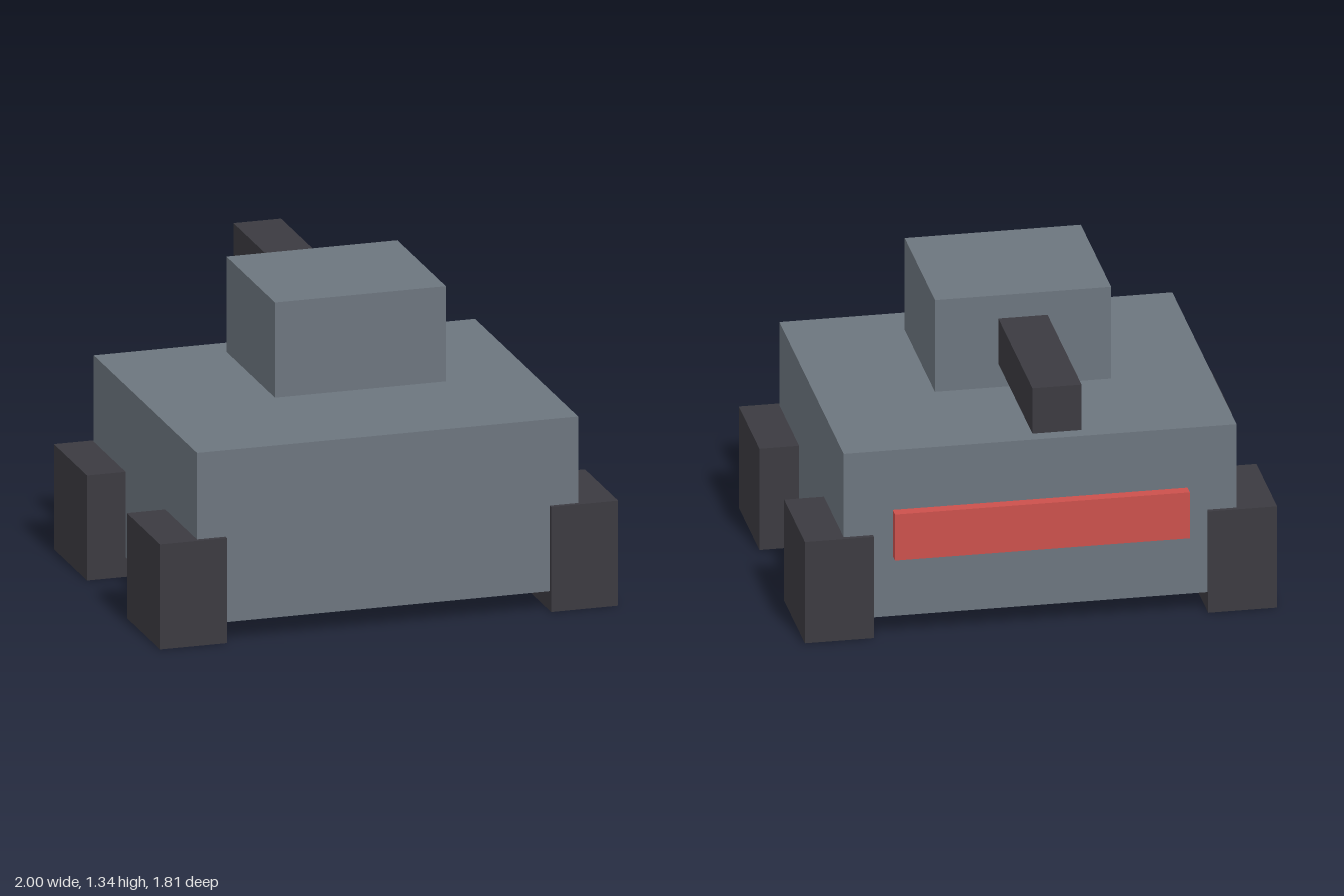
import * as THREE from 'three';

const paint = (name, color) => {
  const m = new THREE.MeshStandardMaterial({ color });
  m.name = name;
  return m;
};

export function createModel() {
  const group = new THREE.Group();
  group.name = 'toyTank';
  const grey = paint('slateGrey', 0x6c757e);
  const dark = paint('charcoal', 0x3b3a40);
  const red = paint('red', 0xcb504c);

  // Box spanning the given [min, max] ranges
  const block = (name, material, x, y, z) => {
    const size = [x, y, z].map(([a, b]) => b - a);
    const mesh = new THREE.Mesh(new THREE.BoxGeometry(...size), material);
    mesh.position.set(...[x, y, z].map(([a, b]) => (a + b) / 2));
    mesh.name = name;
    group.add(mesh);
  };

  // Hull, with the turret hovering just above it
  block('hull', grey, [-0.832, 0.832], [0.085, 0.835], [-0.532, 0.885]);
  block('turret', grey, [-0.373, 0.373], [0.92, 1.335], [-0.155, 0.512]);
  block('barrel', dark, [-0.104, 0.104], [1.025, 1.23], [-0.905, -0.155]);

  // Red bar across the back
  block('rearBar', red, [-0.624, 0.624], [0.357, 0.565], [-0.583, -0.532]);

  // Four square wheels
  for (const [end, z] of [['front', [0.45, 0.905]], ['back', [-0.552, -0.096]]]) {
    block(end + 'LeftWheel', dark, [0.708, 1], [0, 0.458], z);
    block(end + 'RightWheel', dark, [-1, -0.708], [0, 0.458], z);
  }
  return group;
}
